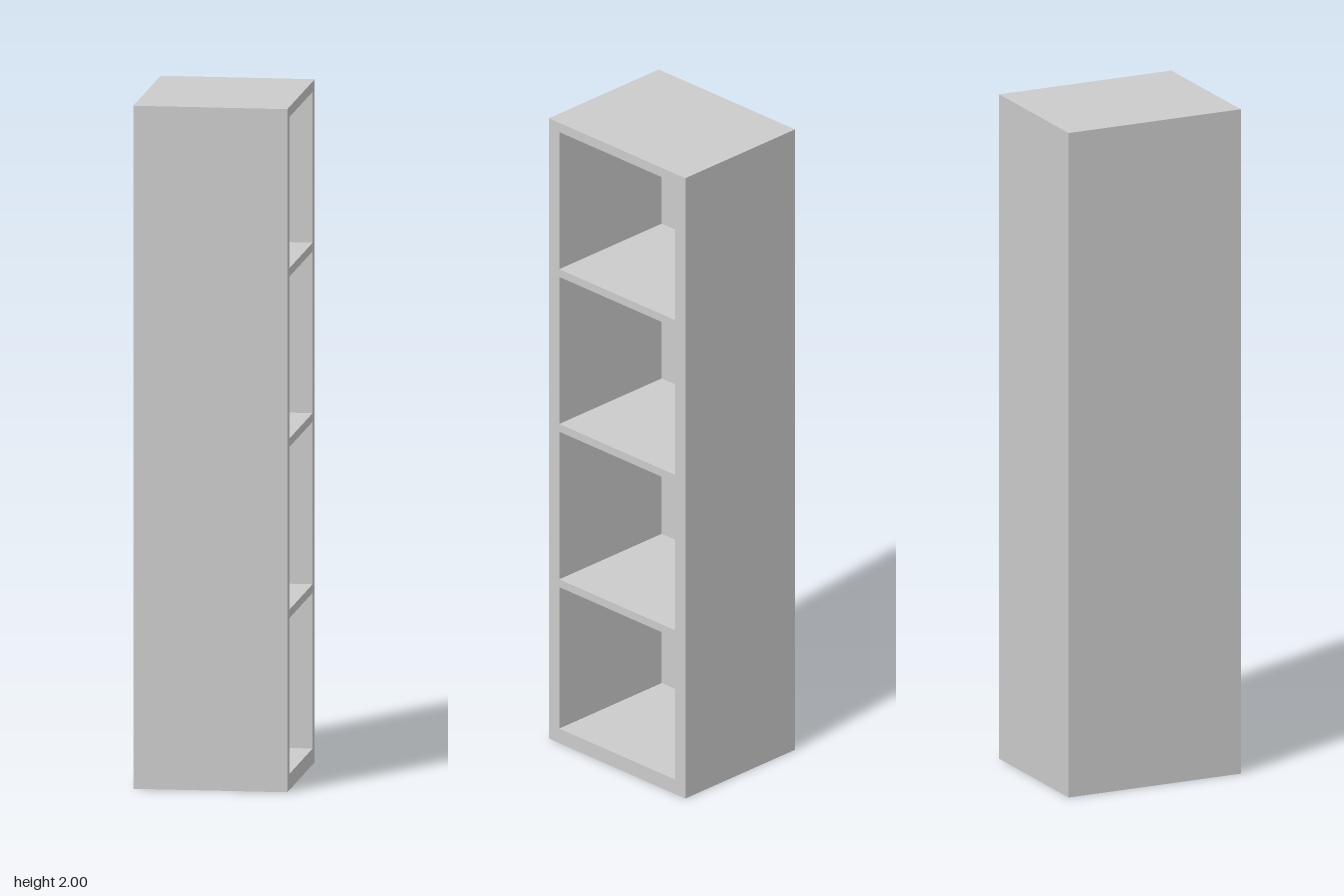
import * as THREE from 'three';

const W = 0.45, H = 2, D = 0.556; // outer size
const SIDE = 0.042, BACK = 0.03;  // panel thicknesses

export function createModel() {
  const group = new THREE.Group();
  group.name = 'bookcase';
  const material = new THREE.MeshStandardMaterial({ color: 0xcccccc, flatShading: true });

  const addBox = (name, w, h, d, x, y, z) => {
    const mesh = new THREE.Mesh(new THREE.BoxGeometry(w, h, d), material);
    mesh.name = name;
    mesh.position.set(x, y, z);
    group.add(mesh);
  };

  // Full-height side panels
  for (const [name, s] of [['frontSidePanel', 1], ['rearSidePanel', -1]]) {
    addBox(name, W, H, SIDE, 0, H / 2, s * (D - SIDE) / 2);
  }

  // Closed back, opposite the open +x face
  const inner = D - 2 * SIDE;
  addBox('backPanel', BACK, H, inner, (BACK - W) / 2, H / 2, 0);

  // Base, three shelves and top, as [name, bottom, top]
  const boards = [
    ['base', 0, 0.047],
    ['lowerShelf', 0.503, 0.528],
    ['middleShelf', 1.004, 1.029],
    ['upperShelf', 1.503, 1.528],
    ['topPanel', 1.97, 2],
  ];
  for (const [name, y0, y1] of boards) {
    addBox(name, W - BACK, y1 - y0, inner, BACK / 2, (y0 + y1) / 2, 0);
  }
  return group;
}
